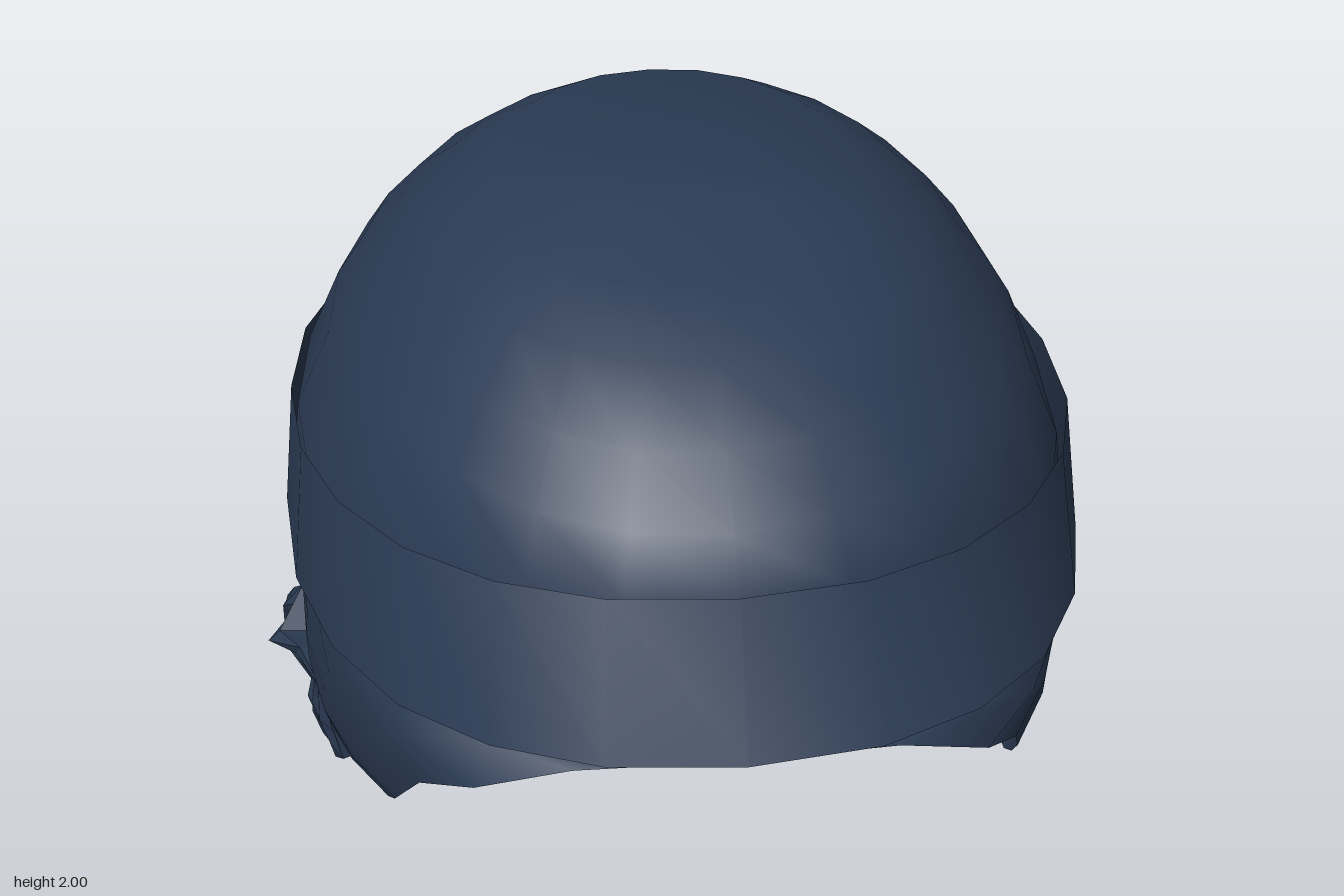
import * as THREE from 'three';
import { mergeVertices } from 'three/addons/utils/BufferGeometryUtils.js';

const SEG = 24;

// Loft equal-length rows of points (listed top to bottom) into one sheet
function loft(rows, smooth = true) {
  const n = rows[0].length, index = [];
  for (let i = 0; i < rows.length - 1; i++) {
    for (let j = 0; j < n - 1; j++) {
      const a = i * n + j, b = a + 1, c = a + n, d = c + 1;
      index.push(a, c, d, a, d, b);
    }
  }
  let geo = new THREE.BufferGeometry();
  geo.setAttribute('position', new THREE.Float32BufferAttribute(rows.flat(2), 3));
  geo.setIndex(index);
  geo = smooth ? mergeVertices(geo, 1e-4) : geo.toNonIndexed();
  geo.computeVertexNormals();
  return geo;
}

// Sine or cosine bent towards a slightly squared ellipse
const soft = (v, pow) => Math.sign(v) * Math.pow(Math.abs(v), 2 / pow);

// One arc round the head, from front edge over the back to the other front edge
function arc(w, front, back, mid, gap, pow, height) {
  const pts = [];
  for (let j = 0; j <= SEG; j++) {
    const t = gap + (2 * Math.PI - 2 * gap) * j / SEG;
    const c = soft(Math.cos(t), pow);
    const z = mid + c * (c > 0 ? front - mid : mid - back);
    pts.push([w * soft(Math.sin(t), pow), height(z), z]);
  }
  return pts;
}

// Hood sections: y, half width, back z, middle z, opening edge x, opening edge z
const HOOD_POW = 2.13;
const SECTIONS = [
  [2.0, 0, 0.12, 0.12, 0, 0.12],
  [1.98, 0.2, -0.08, 0.09, 0, 0.22],
  [1.94, 0.33, -0.42, 0.03, 0, 0.41],
  [1.89, 0.43, -0.51, 0.03, 0, 0.58],
  [1.81, 0.51, -0.64, 0, 0, 0.7],
  [1.72, 0.58, -0.75, -0.02, 0, 0.8],
  [1.64, 0.63, -0.82, -0.03, 0, 0.868],
  [1.48, 0.7, -0.91, -0.05, 0, 0.89],
  [1.335, 0.72, -0.945, -0.05, 0, 0.89],
  [1.325, 0.72, -0.945, -0.05, 0.27, 0.87],
  [1.27, 0.72, -0.95, -0.05, 0.43, 0.83],
  [1.16, 0.725, -0.955, -0.05, 0.52, 0.68],
  [1.07, 0.73, -0.95, -0.05, 0.55, 0.6],
  [0.97, 0.73, -0.94, -0.05, 0.57, 0.5],
  [0.89, 0.72, -0.92, -0.06, 0.585, 0.4],
  [0.84, 0.71, -0.9, -0.06, 0.6, 0.28],
  [0.82, 0.71, -0.89, -0.06, 0.615, 0.14],
  [0.72, 0.68, -0.86, -0.08, 0.64, 0.05],
  [0.6, 0.62, -0.82, -0.1, 0.61, -0.09],
  [0.44, 0.555, -0.745, -0.22, 0.555, -0.22],
  [0.32, 0.46, -0.71, -0.3, 0.46, -0.3],
  [0.22, 0.37, -0.71, -0.4, 0.37, -0.4],
  [0.08, 0.2, -0.71, -0.63, 0.2, -0.63],
  [0, 0.01, -0.675, -0.665, 0.01, -0.665],
];

function hoodGeometry() {
  return loft(SECTIONS.map(([y, w, back, mid, ex, ez]) => {
    const s = w > 0 ? Math.min(1, ex / w) : 0;
    const gap = Math.asin(Math.pow(s, HOOD_POW / 2));
    const front = mid + (ez - mid) / Math.max(0.1, soft(Math.cos(gap), HOOD_POW));
    return arc(w, front, back, mid, gap, HOOD_POW, () => y);
  }));
}

// Headband: flared strip, higher at the front
function bandGeometry() {
  return loft([
    arc(0.708, 0.87, -0.955, -0.04, 0, 2.2, (z) => 1.53 + 0.137 * z),
    arc(0.74, 0.99, -0.99, -0.05, 0, 2.25, (z) => 1.275 + 0.12 * z + 0.05 * Math.max(0, z - 0.7)),
  ]);
}

// Crumpled ear: folded outline with a raised rim and a hollow, as (z, y, rim x)
const EAR = [
  [0.16, 0.96, 0.71], [0.15, 0.85, 0.7], [0.07, 0.82, 0.71], [0.06, 0.7, 0.69],
  [-0.02, 0.64, 0.71], [-0.1, 0.6, 0.71], [-0.19, 0.68, 0.73], [-0.22, 0.8, 0.77],
  [-0.17, 0.95, 0.78], [-0.1, 1.02, 0.76], [-0.05, 1.06, 0.74], [0, 0.99, 0.79],
  [0.06, 0.99, 0.75],
];

function earGeometry() {
  const cz = -0.05, cy = 0.84;
  const ring = (scale, x) => [...EAR, EAR[0]].map(([z, y, rim], i) =>
    [x(rim, i % EAR.length), cy + (y - cy) * scale, cz + (z - cz) * scale]);
  return loft([
    ring(0, () => 0.73),
    ring(0.5, (r, i) => 0.72 + (i % 3) * 0.01),
    ring(0.8, (r, i) => r + (i % 2) * 0.015),
    ring(1, (r) => r - 0.01),
    ring(0.9, (r) => Math.min(0.66, r - 0.07)),
  ], false);
}

export function createModel() {
  const group = new THREE.Group();
  const navy = new THREE.MeshStandardMaterial({ color: 0x2b3b54, side: THREE.DoubleSide });
  navy.name = 'navy cloth';

  const add = (geometry, name) => {
    const mesh = new THREE.Mesh(geometry, navy);
    mesh.name = name;
    group.add(mesh);
    return mesh;
  };

  add(hoodGeometry(), 'hood');
  add(bandGeometry(), 'headband');
  const ear = earGeometry();
  add(ear, 'leftEar');
  add(ear, 'rightEar').scale.x = -1;
  return group;
}
